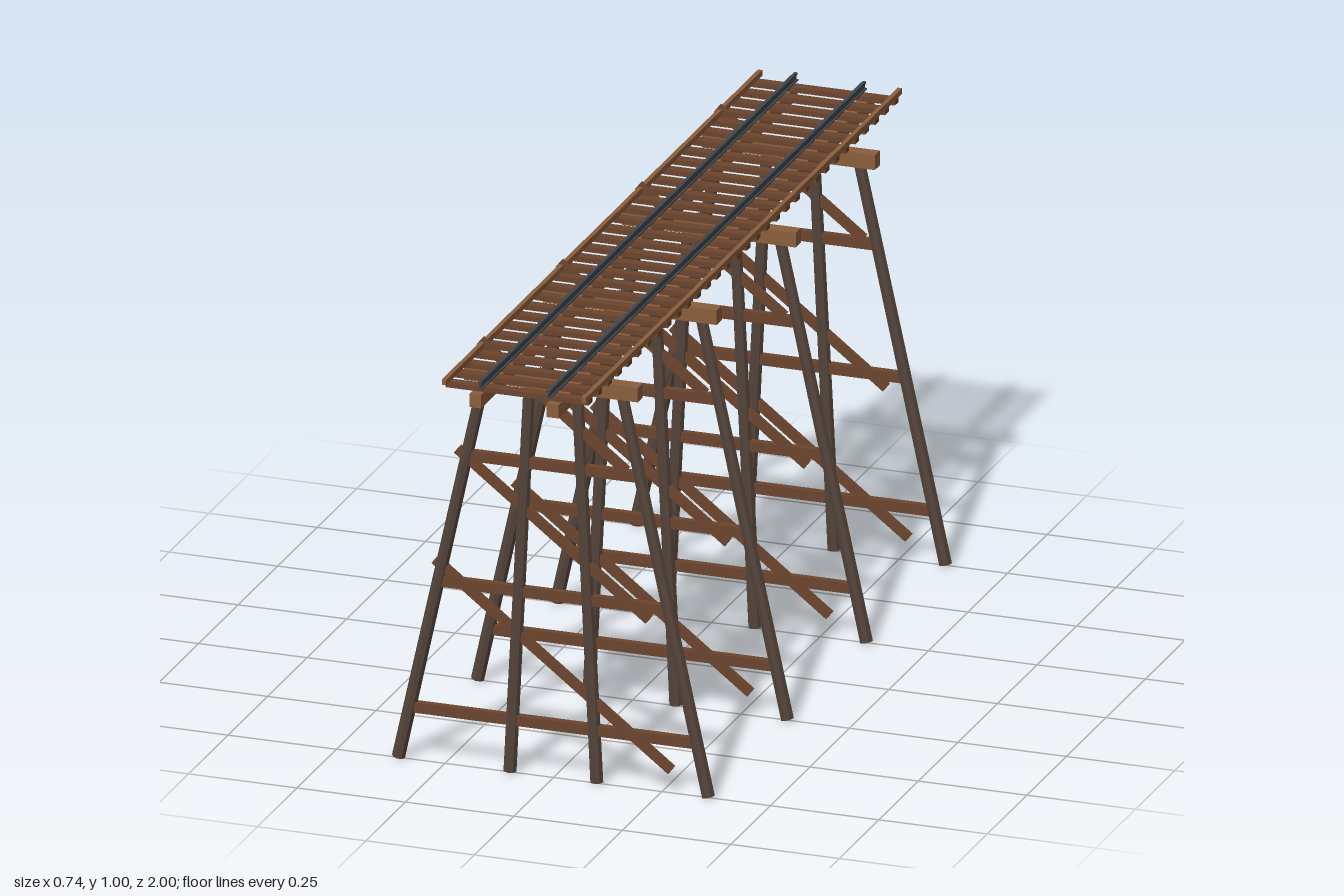
import * as THREE from 'three';

const material = (color) => new THREE.MeshStandardMaterial({ color, flatShading: true });

export function createModel() {
  const model = new THREE.Group();
  model.name = 'trestleBridge';
  const postWood = material(0x54443a);
  const braceWood = material(0x6b452d);
  const beamWood = material(0x8b5e3c);
  const steel = material(0x40464c);

  const add = (parent, name, geometry, mat, x, y, z) => {
    const mesh = new THREE.Mesh(geometry, mat);
    mesh.name = name;
    mesh.position.set(x, y, z);
    parent.add(mesh);
    return mesh;
  };
  const box = (parent, name, w, h, d, mat, x, y, z) =>
    add(parent, name, new THREE.BoxGeometry(w, h, d), mat, x, y, z);

  // Round post leaning from its foot to the cap beam
  const post = (parent, name, footX, topX) => {
    const foot = new THREE.Vector3(footX, 0.005, 0);
    const top = new THREE.Vector3(topX, 0.912, 0);
    const axis = top.clone().sub(foot);
    const mid = foot.clone().add(top).multiplyScalar(0.5);
    const mesh = add(parent, name, new THREE.CylinderGeometry(0.0135, 0.015, axis.length(), 8),
      postWood, mid.x, mid.y, mid.z);
    mesh.quaternion.setFromUnitVectors(new THREE.Vector3(0, 1, 0), axis.normalize());
  };

  // Bents: four posts, cap beam, girts and one diagonal per storey
  for (const z of [-0.75, -0.25, 0.25, 0.75]) {
    const bent = new THREE.Group();
    bent.name = 'bent';
    bent.position.z = z;
    model.add(bent);
    for (const s of [-1, 1]) {
      post(bent, 'outerPost', s * 0.357, s * 0.158);
      post(bent, 'innerPost', s * 0.1, s * 0.055);
    }
    box(bent, 'capBeam', 0.4, 0.034, 0.032, beamWood, 0, 0.92, 0);
    [[0.125, 0.64], [0.425, 0.52], [0.725, 0.39]].forEach(([y, length]) =>
      box(bent, 'girt', length, 0.024, 0.016, braceWood, 0, y, 0));
    [[0.264, 0.687], [0.566, 0.557], [0.864, 0.425]].forEach(([y, length]) => {
      box(bent, 'diagonalBrace', length, 0.02, 0.014, braceWood, 0, y, 0).rotation.z = -0.655;
    });
  }

  // Deck: stringers, guard timbers and rails on both sides
  for (const s of [-1, 1]) {
    box(model, 'stringer', 0.027, 0.031, 2, beamWood, s * 0.089, 0.9525, 0);
    box(model, 'guardTimber', 0.01, 0.013, 2, beamWood, s * 0.161, 0.9865, 0);
    const rail = new THREE.Group();
    rail.name = 'rail';
    rail.position.x = s * 0.079;
    model.add(rail);
    box(rail, 'railBase', 0.012, 0.003, 2, steel, 0, 0.9815, 0);
    box(rail, 'railWeb', 0.003, 0.011, 2, steel, 0, 0.988, 0);
    box(rail, 'railHead', 0.008, 0.005, 2, steel, 0, 0.9955, 0);
  }

  // Cross ties
  const tieCount = 32;
  for (let i = 0; i < tieCount; i++) {
    box(model, 'tie', 0.33, 0.012, 0.024, braceWood, 0, 0.974, -1 + (i + 0.5) * (2 / tieCount));
  }
  return model;
}
